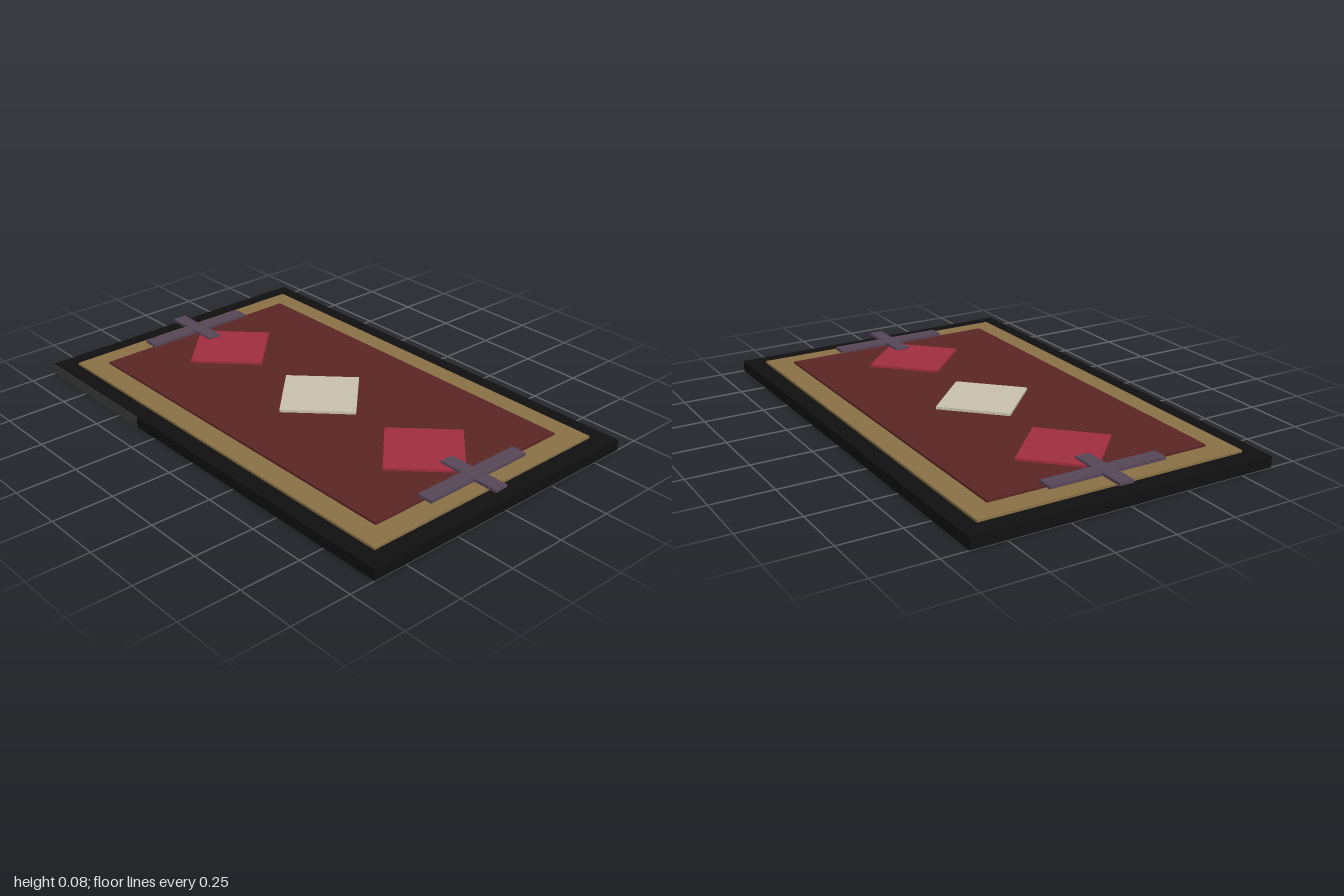
import * as THREE from 'three';

const material = (name, color) => {
  const m = new THREE.MeshStandardMaterial({ color });
  m.name = name;
  return m;
};

export function createModel() {
  const group = new THREE.Group();
  group.name = 'rug';
  const black = material('black', 0x101010);
  const grey = material('dark grey', 0x3a3a3a);
  const gold = material('dull gold', 0x8a7146);
  const maroon = material('maroon', 0x5c2525);
  const crimson = material('crimson', 0xa02e3f);
  const ivory = material('ivory', 0xc8c0b0);
  const purple = material('dusky purple', 0x574758);

  // Box between two heights, centred on x and z
  const slab = (name, mat, w, d, y0, y1, x = 0, z = 0) => {
    const mesh = new THREE.Mesh(new THREE.BoxGeometry(w, y1 - y0, d), mat);
    mesh.name = name;
    mesh.position.set(x, (y0 + y1) / 2, z);
    group.add(mesh);
    return mesh;
  };

  // Stacked layers
  slab('base', black, 2, 1.284, 0, 0.046);
  slab('goldBorder', gold, 1.84, 1.136, 0.046, 0.056);
  slab('field', maroon, 1.65, 0.946, 0.056, 0.065);

  // Grey strip on the left part of the front edge
  slab('frontEdgeStrip', grey, 0.63, 0.002, 0, 0.046, -0.685, 0.642);

  // Diamonds
  const diamond = (name, mat, x, top) => {
    slab(name, mat, 0.304, 0.304, 0.065, top, x).rotation.y = Math.PI / 4;
  };
  diamond('centreDiamond', ivory, 0, 0.076);
  for (const [side, s] of [['left', 1], ['right', -1]]) {
    diamond(side + 'Diamond', crimson, s * 0.59, 0.075);

    // Crossed bars at each end, raised just above the field
    slab(side + 'LongBar', purple, 0.065, 0.5, 0.07, 0.082, s * 0.838);
    slab(side + 'ShortBar', purple, 0.27, 0.06, 0.071, 0.083, s * 0.838);
  }
  return group;
}
